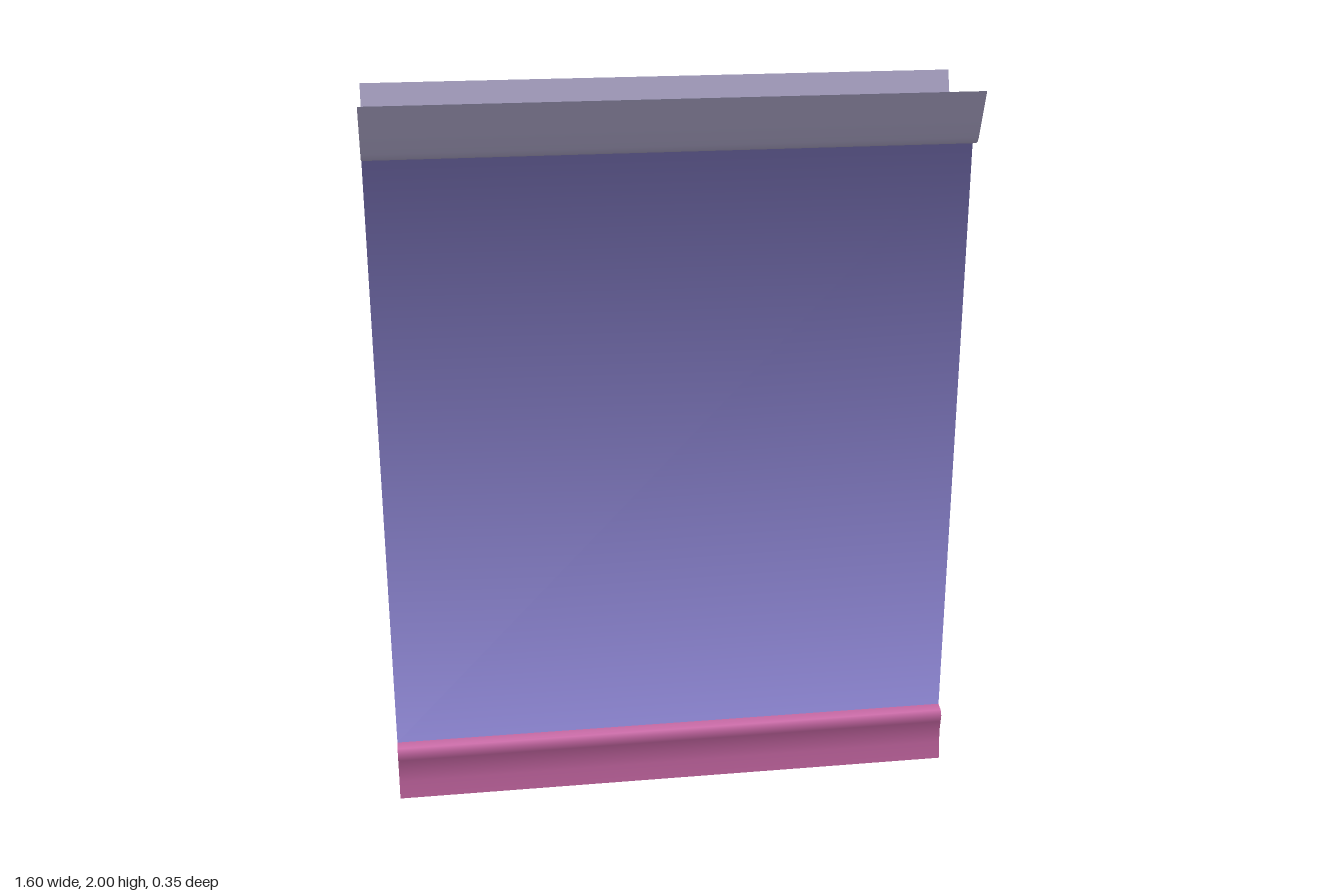
import * as THREE from 'three';

const HALF_WIDTH = 0.8;

// Sheet profile as [z, y], from the bottom edge to the top edge
const profile = [
  [0.117, 0], [0.108, 0.05], [0.105, 0.085], [0.11, 0.12], [0.114, 0.142], [0.104, 0.156], [0.08, 0.163],
  [0.08, 1.848],
  [0.108, 1.852], [0.122, 1.858], [0.13, 1.872], [0.145, 1.915], [0.175, 2],
];

// Each part is a run of the profile
const parts = [
  { name: 'bottomLip', from: 0, to: 6, color: 0xd56fb0 },
  { name: 'panel', from: 6, to: 7, color: 0x9088d8 },
  { name: 'topLip', from: 7, to: 12, color: 0xbab3d8 },
];

// Outward normal of one profile segment
function segmentNormal(i) {
  const [z0, y0] = profile[i];
  const [z1, y1] = profile[i + 1];
  return new THREE.Vector3(0, -(z1 - z0), y1 - y0).normalize();
}

// Normals averaged over neighbouring segments, so the shading runs through the joints
const normals = profile.map((_, i) => {
  const n = new THREE.Vector3();
  if (i > 0) n.add(segmentNormal(i - 1));
  if (i < profile.length - 1) n.add(segmentNormal(i));
  return n.normalize();
});

// Sweep part of the profile along x
function strip(from, to) {
  const position = [], normal = [], index = [];
  for (let i = from; i <= to; i++) {
    const [z, y] = profile[i];
    for (const x of [-HALF_WIDTH, HALF_WIDTH]) {
      position.push(x, y, z);
      normal.push(...normals[i].toArray());
    }
    if (i < to) {
      const a = (i - from) * 2;
      index.push(a, a + 1, a + 3, a, a + 3, a + 2);
    }
  }
  const geometry = new THREE.BufferGeometry();
  geometry.setAttribute('position', new THREE.Float32BufferAttribute(position, 3));
  geometry.setAttribute('normal', new THREE.Float32BufferAttribute(normal, 3));
  geometry.setIndex(index);
  return geometry;
}

function createSheet(name) {
  const sheet = new THREE.Group();
  sheet.name = name;
  for (const { name: part, from, to, color } of parts) {
    const material = new THREE.MeshStandardMaterial({ color, side: THREE.DoubleSide });
    const mesh = new THREE.Mesh(strip(from, to), material);
    mesh.name = part;
    sheet.add(mesh);
  }
  return sheet;
}

export function createModel() {
  const model = new THREE.Group();
  model.name = 'doubleSheet';

  // Two open sheets back to back, lips flaring outward
  const front = createSheet('frontSheet');
  const back = createSheet('backSheet');
  back.rotation.y = Math.PI;
  model.add(front, back);
  return model;
}
